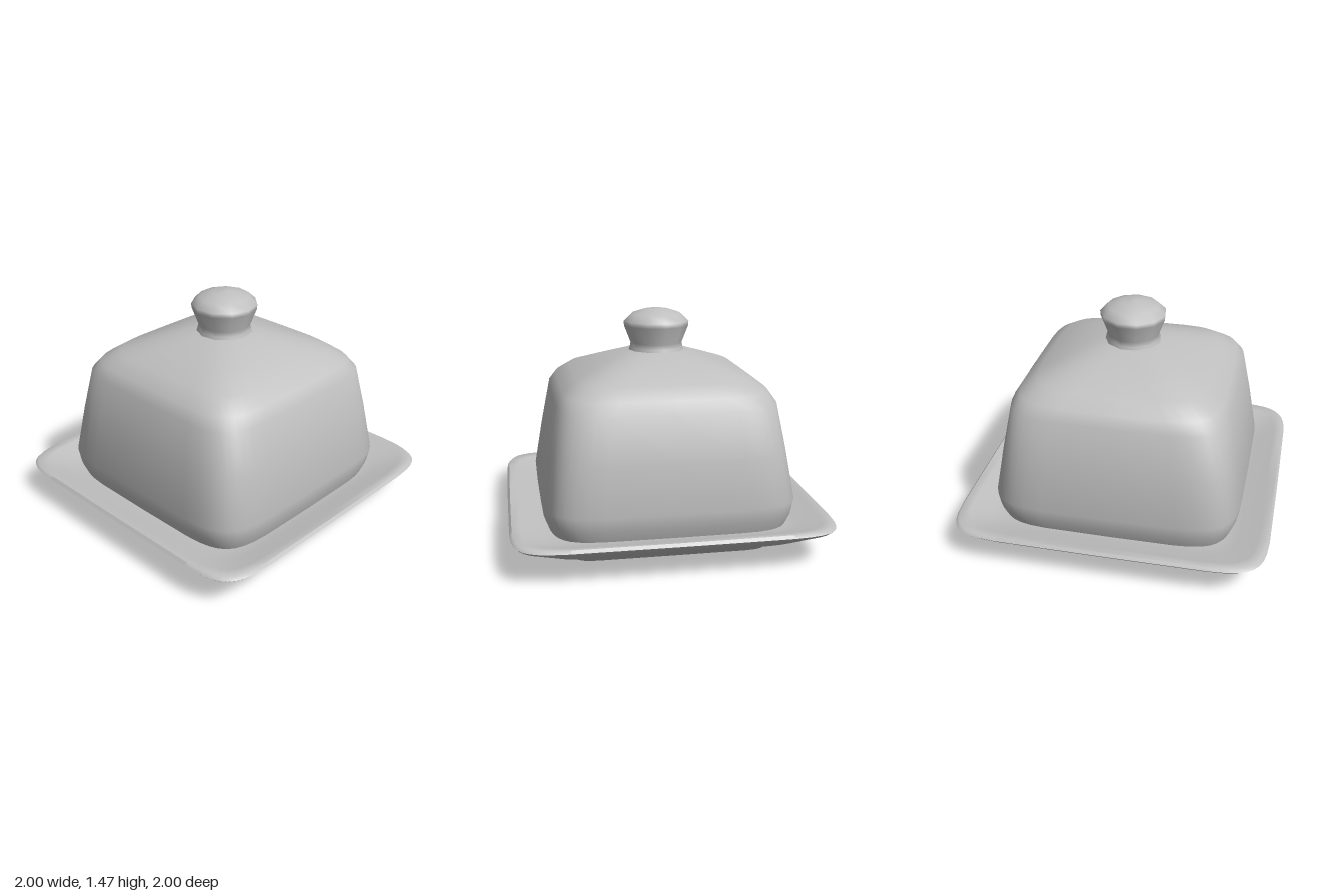
import * as THREE from 'three';
import { toCreasedNormals } from 'three/addons/utils/BufferGeometryUtils.js';

// Lofts rounded-square rings. Each row: [half width, y, squareness exponent]
function squareLoft(rows, sides, crease) {
  const pos = [];
  const idx = [];
  for (const [half, y, n] of rows) {
    for (let j = 0; j < sides; j++) {
      const a = (j / sides) * Math.PI * 2;
      const bend = (v) => (Math.abs(v) < 1e-6 ? 0 : Math.sign(v) * Math.abs(v) ** (2 / n));
      pos.push(half * bend(Math.cos(a)), y, half * bend(Math.sin(a)));
    }
  }
  for (let i = 0; i < rows.length - 1; i++) {
    for (let j = 0; j < sides; j++) {
      const a = i * sides + j;
      const c = i * sides + ((j + 1) % sides);
      const b = a + sides;
      const d = c + sides;
      if (rows[i + 1][0] > 0) idx.push(a, b, d);
      if (rows[i][0] > 0) idx.push(a, d, c);
    }
  }
  const geo = new THREE.BufferGeometry();
  geo.setAttribute('position', new THREE.Float32BufferAttribute(pos, 3));
  geo.setIndex(idx);
  return toCreasedNormals(geo, crease);
}

export function createModel() {
  const group = new THREE.Group();
  const ceramic = new THREE.MeshStandardMaterial({ color: 0xc0c0c0 });
  ceramic.name = 'grey ceramic';

  const add = (name, geo) => {
    const mesh = new THREE.Mesh(geo, ceramic);
    mesh.name = name;
    group.add(mesh);
  };

  // Square plate: recessed underside, foot, flared wall, thin raised rim
  add('plate', squareLoft([
    [0, 0.045, 9], [0.56, 0.045, 12], [0.58, 0.0, 12], [0.62, 0.005, 12],
    [0.66, 0.055, 11], [0.81, 0.105, 9], [0.985, 0.205, 9], [1.0, 0.222, 9],
    [0.985, 0.24, 9], [0.93, 0.232, 9], [0.81, 0.185, 9], [0.72, 0.175, 9], [0, 0.175, 9],
  ], 40, 1.0));

  // Square cover with a slight flare, soft shoulders and a low pyramid roof
  add('cover', squareLoft([
    [0.755, 0.17, 6], [0.785, 0.25, 6], [0.798, 0.34, 6], [0.745, 0.65, 6],
    [0.69, 0.93, 6], [0.645, 1.0, 5.5], [0.55, 1.07, 5], [0.38, 1.135, 4],
    [0.2, 1.2, 2.6], [0, 1.215, 2],
  ], 40, 1.2));

  // Faceted round knob with a narrow neck
  const knobProfile = [
    [0.19, 1.17], [0.175, 1.22], [0.168, 1.25], [0.21, 1.36], [0.212, 1.39],
    [0.165, 1.435], [0.08, 1.463], [0, 1.472],
  ].map(([r, y]) => new THREE.Vector2(r, y));
  add('knob', new THREE.LatheGeometry(knobProfile, 11));

  return group;
}
